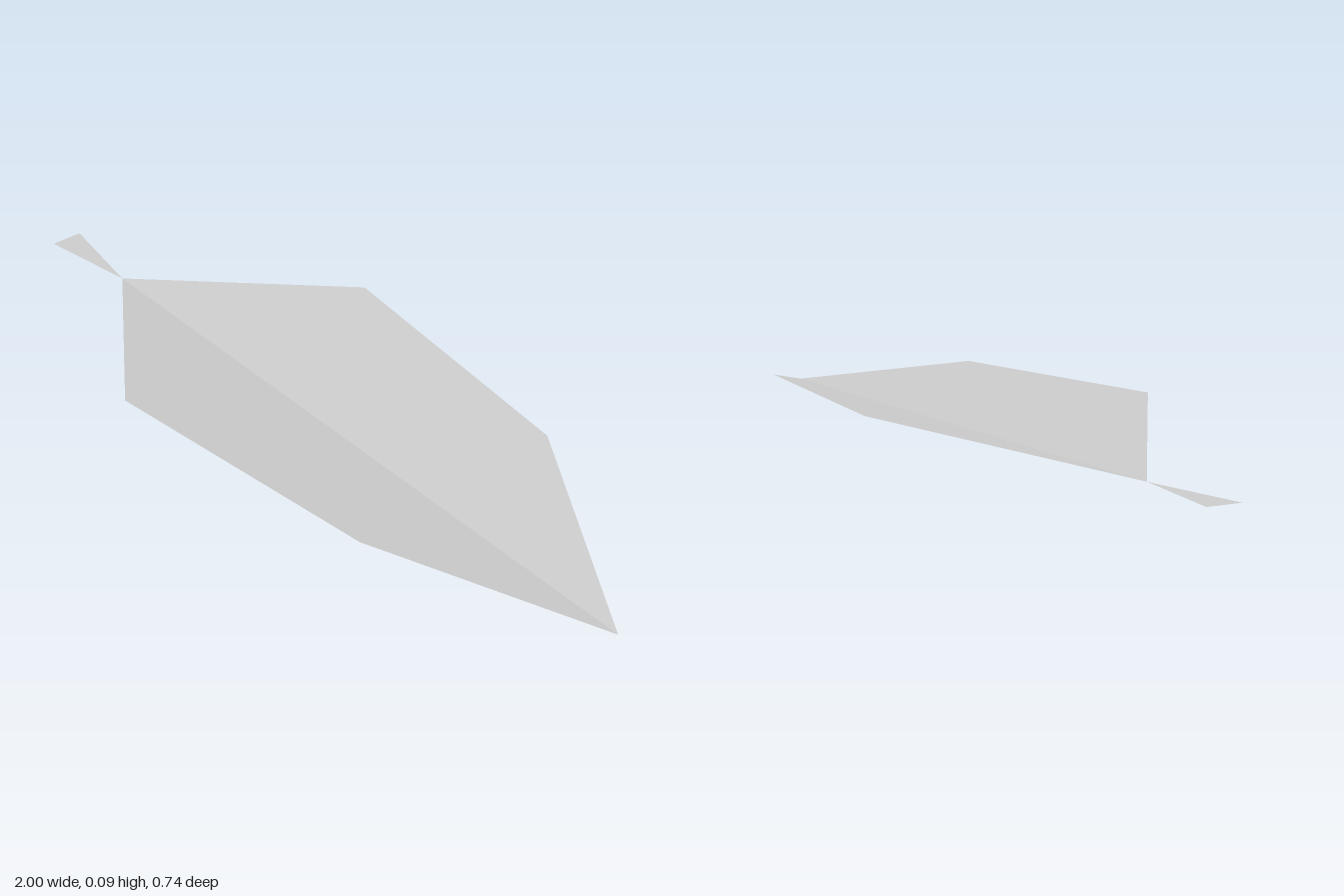
import * as THREE from 'three';

// Builds a thin sheet from points and triangles, shaded as one even face
function sheet(name, points, index, normal, material) {
  const geometry = new THREE.BufferGeometry();
  geometry.setAttribute('position', new THREE.Float32BufferAttribute(points.flat(), 3));
  const normals = points.flatMap(() => normal.toArray());
  geometry.setAttribute('normal', new THREE.Float32BufferAttribute(normals, 3));
  geometry.setIndex(index);
  const mesh = new THREE.Mesh(geometry, material);
  mesh.name = name;
  return mesh;
}

export function createModel() {
  const group = new THREE.Group();
  group.name = 'leaf';
  const grey = new THREE.MeshStandardMaterial({ color: 0xcccccc, side: THREE.DoubleSide });
  grey.name = 'leafGrey';

  // Blade halves rise from the central fold towards the raised outer edge
  const lift = 0.087;
  for (const s of [1, -1]) {
    const points = [
      [-0.74, 0, 0], [-0.2, 0, 0], [0.52, 0, 0], [1, 0, 0],
      [-0.2, lift, 0.37 * s], [0.52, lift, 0.282 * s],
    ];
    const index = [0, 4, 1, 1, 4, 5, 1, 5, 2, 2, 5, 3];
    if (s < 0) index.reverse();
    const normal = new THREE.Vector3(0, 1, -0.27 * s).normalize();
    group.add(sheet(s > 0 ? 'frontBladeHalf' : 'backBladeHalf', points, index, normal, grey));
  }

  // Flat stalk that widens away from the blade
  const stalk = [[-0.74, 0, 0], [-1, 0, -0.042], [-1, 0, 0.042]];
  group.add(sheet('stalk', stalk, [0, 1, 2], new THREE.Vector3(0, 1, 0), grey));

  return group;
}
